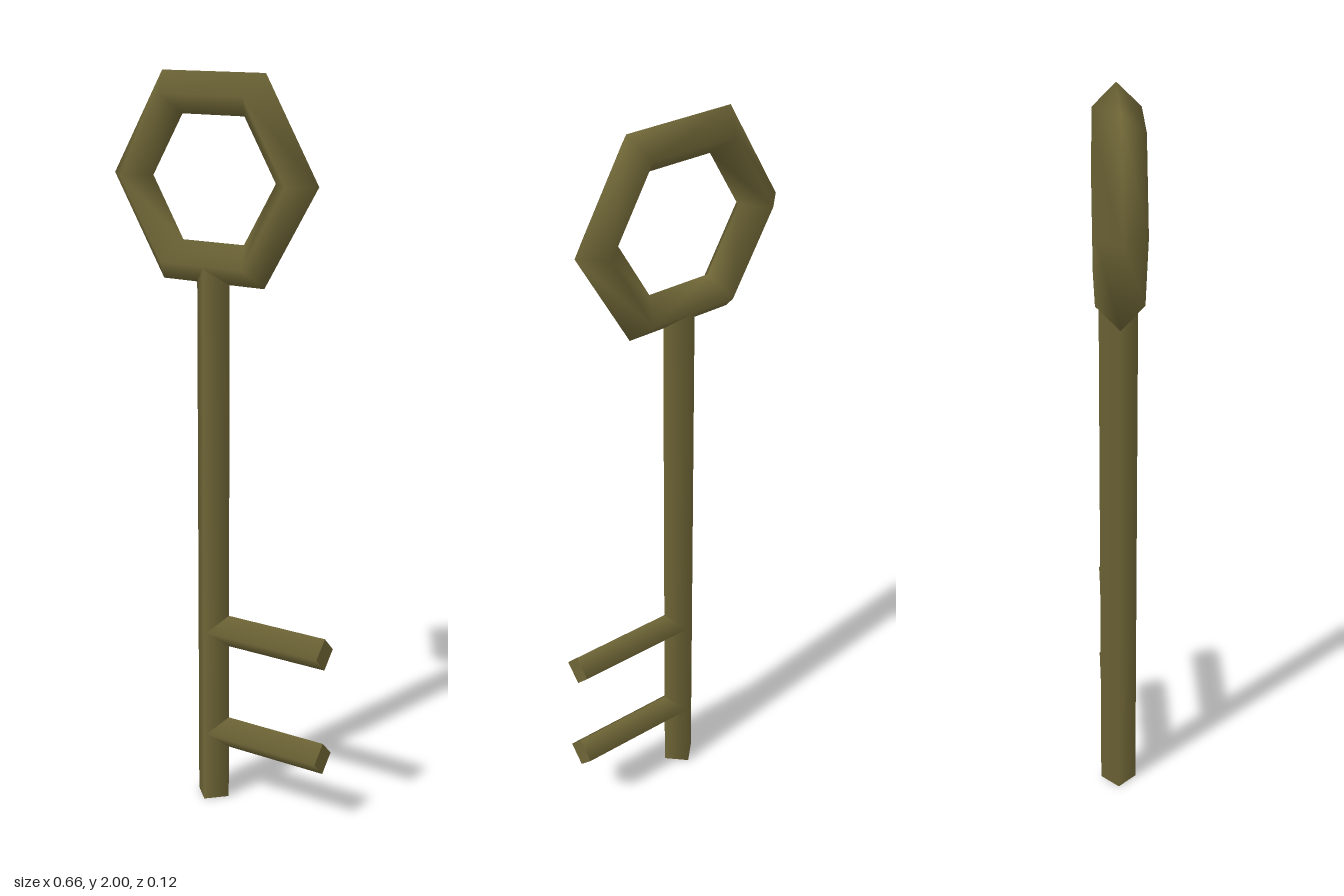
import * as THREE from 'three';

export function createModel() {
  const key = new THREE.Group();
  key.name = 'key';
  const material = new THREE.MeshStandardMaterial({ color: 0x6e6536 });
  const axisX = -0.02;

  const add = (name, geometry, x, y) => {
    const mesh = new THREE.Mesh(geometry, material);
    mesh.name = name;
    mesh.position.set(x, y, 0);
    key.add(mesh);
    return mesh;
  };

  // Hexagonal bow with a diamond cross-section
  add('bow', new THREE.TorusGeometry(0.247, 0.0617, 4, 6), axisX, 1.733);

  // Four-sided shaft, its top buried in the bow
  const shaftHeight = 1.515;
  add('shaft', new THREE.CylinderGeometry(0.05, 0.05, shaftHeight, 4), axisX, shaftHeight / 2);

  // Two teeth reaching out from the shaft's axis
  const toothEnd = 0.33;
  const toothLength = toothEnd - axisX;
  [['lowerTooth', 0.2], ['upperTooth', 0.505]].forEach(([name, y]) => {
    const geometry = new THREE.CylinderGeometry(0.045, 0.045, toothLength, 4);
    add(name, geometry, axisX + toothLength / 2, y).rotation.z = -Math.PI / 2;
  });

  return key;
}
